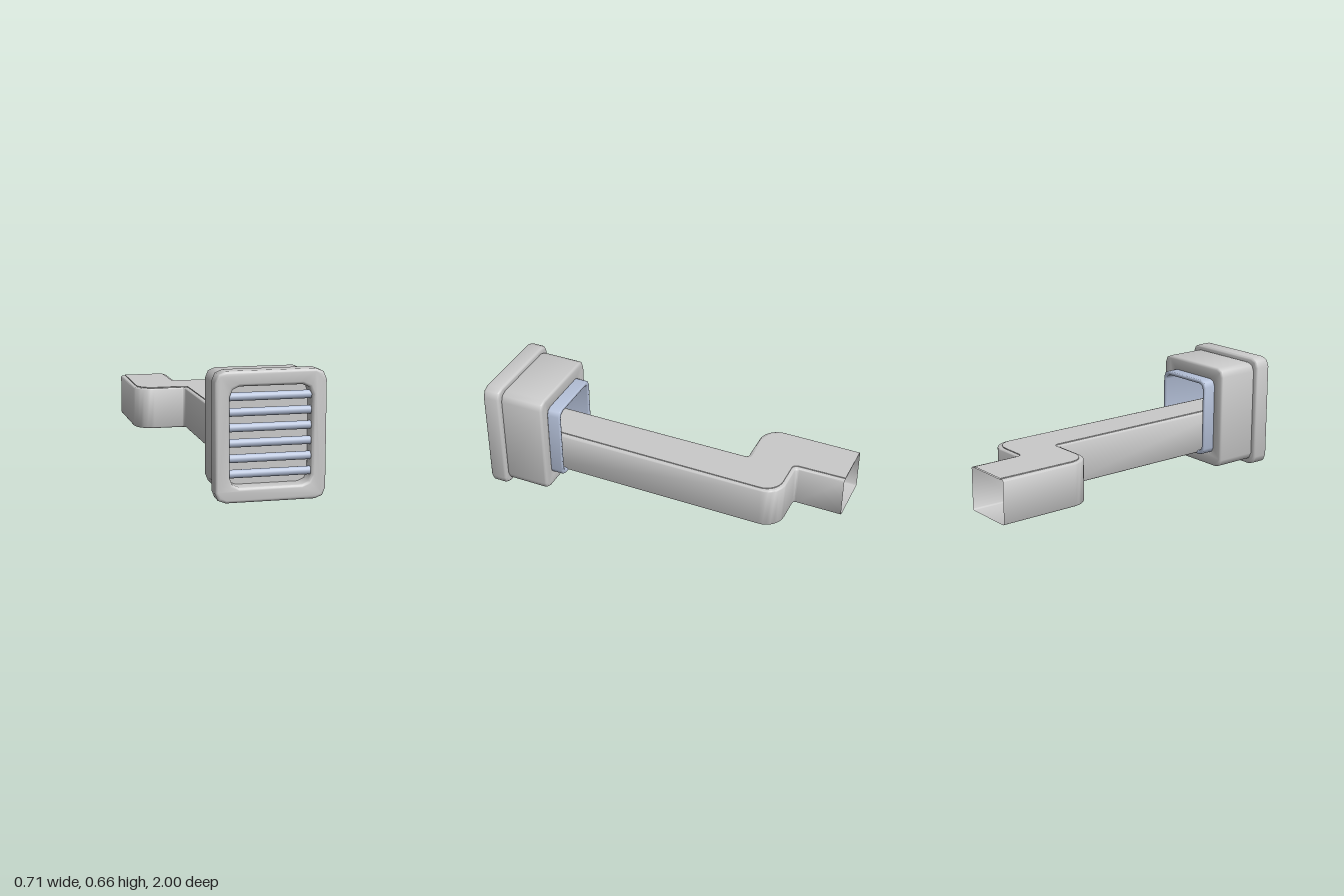
import * as THREE from 'three';
import { toCreasedNormals } from 'three/addons/utils/BufferGeometryUtils.js';

const CX = 0.07, CY = 0.33; // centre of the vent head

// Rectangle outline with corners cut in two facets each
function roundRect(Type, w, h, r) {
  const s = new Type();
  const corners = [[1, 1, 0], [-1, 1, 1], [-1, -1, 2], [1, -1, 3]];
  const pts = [];
  for (const [sx, sy, q] of corners) {
    for (let i = 0; i <= 2; i++) {
      const a = (q + i / 2) * Math.PI / 2;
      pts.push(new THREE.Vector2(
        CX + sx * (w / 2 - r) + r * Math.cos(a),
        CY + sy * (h / 2 - r) + r * Math.sin(a)));
    }
  }
  s.setFromPoints(pts);
  return s;
}

// Bevelled rectangular ring between two depths
function ring(outer, inner, z0, z1, bevel) {
  const shape = roundRect(THREE.Shape, ...outer);
  shape.holes.push(roundRect(THREE.Path, ...inner));
  const geo = new THREE.ExtrudeGeometry(shape, {
    depth: z1 - z0 - 2 * bevel, bevelSize: bevel, bevelThickness: bevel,
    bevelOffset: -bevel, bevelSegments: 3,
  });
  geo.translate(0, 0, z0 + bevel);
  return toCreasedNormals(geo, 0.82);
}

// One side of the duct in plan: straight runs with rounded corners, n points per corner
function ductSide(points, radii, n) {
  const out = [new THREE.Vector2(...points[0])];
  for (let i = 1; i < points.length - 1; i++) {
    const p = new THREE.Vector2(...points[i]);
    const toward = (q) => new THREE.Vector2(...q).sub(p).normalize().multiplyScalar(radii[i - 1]).add(p);
    const a = toward(points[i - 1]), b = toward(points[i + 1]);
    const c = a.clone().add(b).sub(p); // arc centre
    for (let k = 0; k <= n; k++) {
      const t = k / n * Math.PI / 2;
      out.push(c.clone()
        .addScaledVector(a.clone().sub(c), Math.cos(t))
        .addScaledVector(b.clone().sub(c), Math.sin(t)));
    }
  }
  out.push(new THREE.Vector2(...points[points.length - 1]));
  return out;
}

// Joins cross-sections [inset from left, inset from right, y] along the two sides
function loft(left, right, section) {
  const pos = [], idx = [], m = section.length;
  left.forEach((l, i) => {
    const r = right[i], u = r.clone().sub(l).normalize();
    for (const [side, inset, y] of section) {
      const p = side < 0 ? l.clone().addScaledVector(u, inset) : r.clone().addScaledVector(u, -inset);
      pos.push(p.x, y, p.y);
    }
    if (i === 0) return;
    for (let k = 0; k < m; k++) {
      const a = (i - 1) * m + k, b = (i - 1) * m + (k + 1) % m;
      idx.push(a, b, a + m, b, b + m, a + m);
    }
  });
  const geo = new THREE.BufferGeometry();
  geo.setAttribute('position', new THREE.Float32BufferAttribute(pos, 3));
  geo.setIndex(idx);
  return toCreasedNormals(geo, 0.6);
}

export function createModel() {
  const group = new THREE.Group();
  const grey = new THREE.MeshStandardMaterial({ name: 'lightGrey', color: 0xcacaca });
  const greySheet = new THREE.MeshStandardMaterial({ name: 'lightGreySheet', color: 0xcacaca, side: THREE.DoubleSide });
  const blue = new THREE.MeshStandardMaterial({ name: 'paleBlue', color: 0xb4c0d8 });

  const add = (name, geo, mat) => {
    const mesh = new THREE.Mesh(geo, mat);
    mesh.name = name;
    group.add(mesh);
    return mesh;
  };

  // Vent head: front frame, housing and rear collar
  add('frontFrame', ring([0.57, 0.66, 0.055], [0.42, 0.505, 0.05], 0.9, 1, 0.015), grey);
  add('housing', ring([0.515, 0.605, 0.05], [0.36, 0.44, 0.03], 0.645, 0.905, 0.015), grey);
  add('rearCollar', ring([0.37, 0.455, 0.04], [0.325, 0.41, 0.03], 0.575, 0.885, 0.008), blue);
  add('backPanel', new THREE.BoxGeometry(0.45, 0.53, 0.03), grey).position.set(CX, CY, 0.895);

  // Rounded louvre slats
  const slat = new THREE.CylinderGeometry(0.0215, 0.0215, 0.425, 16).rotateZ(Math.PI / 2);
  for (let i = 0; i < 6; i++) {
    add('slat', slat, blue).position.set(CX, 0.141 + i * 0.0774, 0.96);
  }

  // Hollow duct with a double bend, open at the far end
  const left = ductSide([[-0.06, 0.88], [-0.06, -0.44], [-0.355, -0.44], [-0.355, -1]], [0.02, 0.11], 8);
  const right = ductSide([[0.195, 0.88], [0.195, -0.72], [-0.065, -0.72], [-0.065, -1]], [0.11, 0.02], 8);
  const y0 = 0.11, y1 = 0.35, b = 0.008, c = 0.003;
  add('duct', loft(left, right, [
    [-1, b, y0], [-1, c, y0 + c], [-1, 0, y0 + b],
    [-1, 0, y1 - b], [-1, c, y1 - c], [-1, b, y1],
    [1, b, y1], [1, c, y1 - c], [1, 0, y1 - b],
    [1, 0, y0 + b], [1, c, y0 + c], [1, b, y0],
  ]), greySheet);

  // Slightly raised lid along the top of the duct
  add('ductLid', loft(left, right, [
    [-1, 0.025, y1 - 0.002], [-1, 0.025, y1 + 0.005],
    [1, 0.025, y1 + 0.005], [1, 0.025, y1 - 0.002],
  ]), greySheet);

  return group;
}
